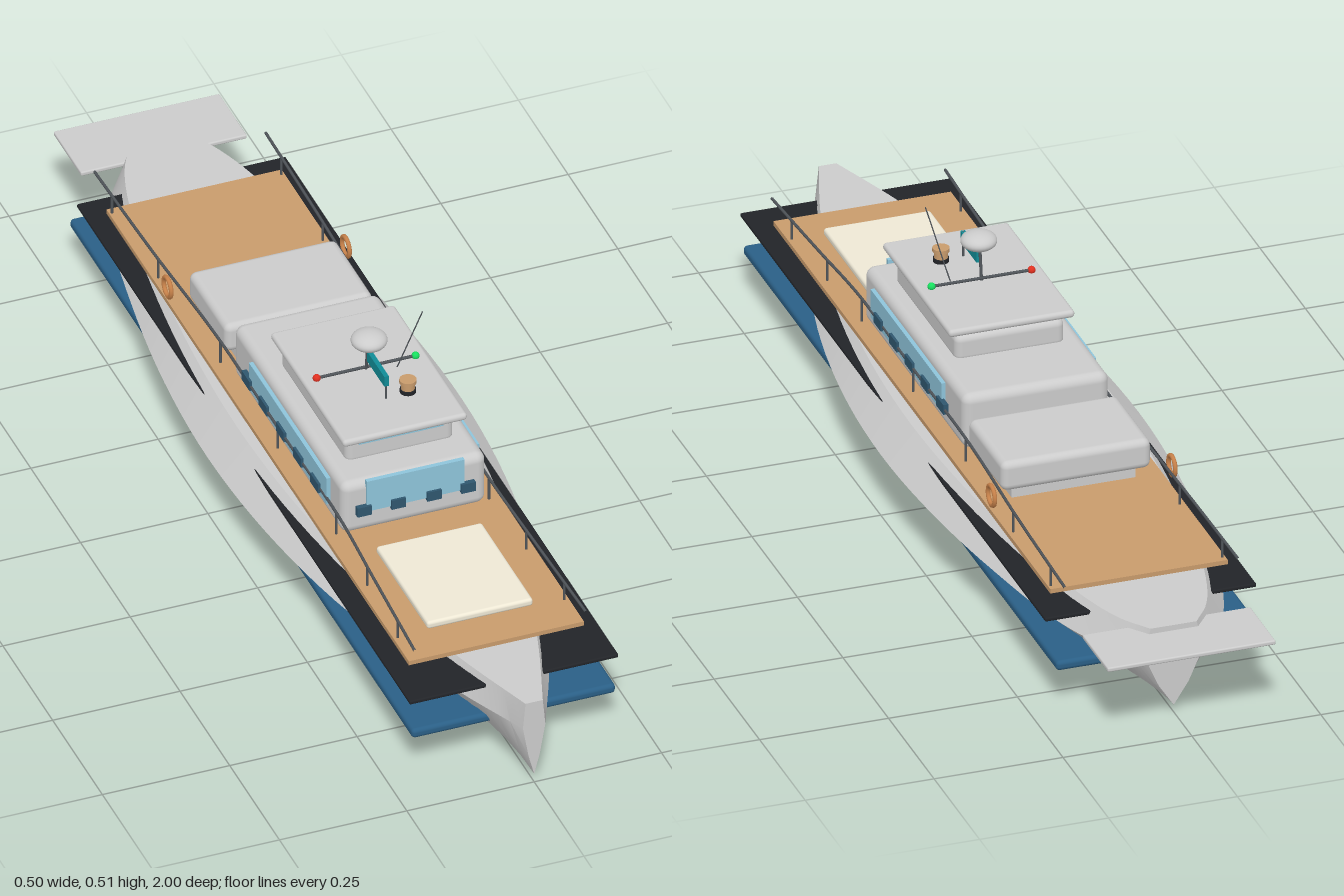
import * as THREE from 'three';
import { toCreasedNormals } from 'three/addons/utils/BufferGeometryUtils.js';
import { RoundedBoxGeometry } from 'three/addons/geometries/RoundedBoxGeometry.js';

const paint = (color) => new THREE.MeshStandardMaterial({ color });
const GREY = paint(0xcccccc), WHITE = paint(0xffffff), BLACK = paint(0x222428), BLUE = paint(0x2a5f86);
const TEAK = paint(0xc89b6c), CREAM = paint(0xeee8d5), GLASS = paint(0x8ec4da), DARK = paint(0x2f566e);
const METAL = paint(0x50555a), ORANGE = paint(0xc8824a), TEAL = paint(0x118c96);
const RED = paint(0xe03020), GREEN = paint(0x18e060);

// Lofted hull: keel, bilge, chine and deck edge swept along the length
function hullGeometry() {
  const stations = [[-0.9, 0.058], [-0.84, 0.11], [-0.72, 0.16], [-0.5, 0.205], [-0.25, 0.238], [0, 0.25],
    [0.25, 0.236], [0.5, 0.196], [0.72, 0.135], [0.85, 0.088], [1, 0.022]];
  const curve = new THREE.CatmullRomCurve3(stations.map(([z, w]) => new THREE.Vector3(w, 0, z)));
  const rings = curve.getPoints(50).map(({ x: w, z }) => {
    const keel = 0.018 * z * z;
    const half = [[0.5, 0.052 + keel * 0.5], [1, 0.125], [0.77, 0.18]];
    return [[0, keel], ...half.map(([f, y]) => [f * w, y]),
      ...half.slice().reverse().map(([f, y]) => [-f * w, y])].map(([x, y]) => [x, y, z]);
  });
  const pos = [];
  const tri = (a, b, c) => pos.push(...a, ...b, ...c);
  const n = rings[0].length;
  for (let i = 0; i < rings.length - 1; i++) {
    for (let j = 0; j < n; j++) {
      const k = (j + 1) % n, a = rings[i], b = rings[i + 1];
      tri(a[j], a[k], b[k]);
      tri(a[j], b[k], b[j]);
    }
  }
  const stern = rings[0], bow = rings[rings.length - 1];
  for (let j = 1; j < n - 1; j++) {
    tri(stern[0], stern[j + 1], stern[j]);
    tri(bow[0], bow[j], bow[j + 1]);
  }
  const g = new THREE.BufferGeometry();
  g.setAttribute('position', new THREE.Float32BufferAttribute(pos, 3));
  return toCreasedNormals(g, 0.4);
}

export function createModel() {
  const boat = new THREE.Group();
  boat.name = 'motorYacht';

  const add = (name, geo, mat, x = 0, y = 0, z = 0) => {
    const m = new THREE.Mesh(geo, mat);
    m.name = name;
    m.position.set(x, y, z);
    boat.add(m);
    return m;
  };
  // Boxes given by their ranges along each axis
  const box = (name, mat, [x0, x1], [y0, y1], [z0, z1], r = 0) => {
    const s = [x1 - x0, y1 - y0, z1 - z0];
    const geo = r ? new RoundedBoxGeometry(...s, 3, r) : new THREE.BoxGeometry(...s);
    return add(name, geo, mat, (x0 + x1) / 2, (y0 + y1) / 2, (z0 + z1) / 2);
  };
  const rod = (name, mat, a, b, r) => {
    const p = new THREE.Vector3(...a), q = new THREE.Vector3(...b);
    const m = add(name, new THREE.CylinderGeometry(r, r, p.distanceTo(q), 8), mat);
    m.position.copy(p).lerp(q, 0.5);
    m.quaternion.setFromUnitVectors(new THREE.Vector3(0, 1, 0), q.sub(p).normalize());
    return m;
  };

  // Hull and deck
  add('hull', hullGeometry(), GREY);
  box('waterlineBand', BLUE, [-0.2, 0.2], [0.08, 0.1], [-0.825, 0.9], 0.008);
  box('rubRail', BLACK, [-0.205, 0.205], [0.159, 0.167], [-0.775, 0.9], 0.003);
  box('deck', TEAK, [-0.172, 0.172], [0.18, 0.189], [-0.71, 0.81]);
  box('swimPlatform', WHITE, [-0.163, 0.163], [0.16, 0.169], [-1, -0.86], 0.003);
  box('sunPad', CREAM, [-0.104, 0.104], [0.188, 0.204], [0.47, 0.73], 0.006);

  // Superstructure
  box('aftCabin', WHITE, [-0.145, 0.145], [0.212, 0.272], [-0.37, -0.178], 0.014);
  box('aftCabinBase', WHITE, [-0.12, 0.12], [0.188, 0.22], [-0.35, -0.19]);
  box('mainCabin', WHITE, [-0.142, 0.142], [0.188, 0.3], [-0.15, 0.4], 0.018);
  box('bridge', WHITE, [-0.106, 0.106], [0.29, 0.345], [-0.005, 0.328], 0.014);
  box('bridgeRoof', WHITE, [-0.122, 0.122], [0.35, 0.365], [-0.015, 0.355], 0.007);
  for (const x of [-0.085, 0.085]) {
    for (const z of [0.04, 0.29]) rod('roofPost', WHITE, [x, 0.34, z], [x, 0.355, z], 0.005);
  }

  // Windows
  box('frontWindow', GLASS, [-0.096, 0.096], [0.235, 0.302], [0.396, 0.405]);
  box('bridgeWindow', GLASS, [-0.083, 0.083], [0.333, 0.342], [0.322, 0.332]);
  for (const x of [-0.102, -0.035, 0.035, 0.102]) {
    box('frontVent', DARK, [x - 0.014, x + 0.014], [0.23, 0.25], [0.4, 0.41]);
  }
  for (const s of [-1, 1]) {
    const side = (a, b) => [Math.min(s * a, s * b), Math.max(s * a, s * b)];
    box('sideWindow', GLASS, side(0.14, 0.15), [0.222, 0.28], [-0.05, 0.34]);
    for (let i = 0; i < 5; i++) {
      const z = 0.29 - i * 0.086;
      box('sideVent', DARK, side(0.145, 0.155), [0.228, 0.248], [z - 0.02, z + 0.02]);
    }
  }

  // Railings and lifebuoys
  for (const s of [-1, 1]) {
    const path = [[0.168, 0.225, 0.83], [0.158, 0.23, 0.6], [0.15, 0.236, 0.4], [0.152, 0.236, 0.1],
      [0.152, 0.236, -0.2], [0.162, 0.23, -0.5], [0.168, 0.226, -0.78]].map(([x, y, z]) => [s * x, y, z]);
    const curve = new THREE.CatmullRomCurve3(path.map((p) => new THREE.Vector3(...p)));
    add('handrail', new THREE.TubeGeometry(curve, 48, 0.0028, 6), METAL);
    for (const t of [0.07, 0.2, 0.34, 0.5, 0.66, 0.82, 0.95]) {
      const p = curve.getPoint(t);
      rod('railPost', METAL, [p.x, 0.185, p.z], [p.x, p.y, p.z], 0.0025);
    }
    const buoy = add('lifebuoy', new THREE.TorusGeometry(0.019, 0.0045, 8, 24), ORANGE, s * 0.175, 0.226, -0.395);
    buoy.rotation.y = Math.PI / 2;
  }

  // Mast, radar dome, flag and running lights
  rod('mast', METAL, [0, 0.364, 0.155], [0, 0.435, 0.165], 0.003);
  add('radarDome', new THREE.SphereGeometry(0.034, 28, 18), WHITE, 0, 0.44, 0.17).scale.y = 0.52;
  box('flag', TEAL, [-0.0045, 0.0045], [0.394, 0.416], [0.17, 0.258]);
  rod('flagStaff', METAL, [0, 0.364, 0.255], [0, 0.416, 0.255], 0.002);
  rod('lightBar', METAL, [-0.097, 0.369, 0.155], [0.097, 0.369, 0.155], 0.003);
  add('redLight', new THREE.SphereGeometry(0.0075, 16, 12), RED, -0.097, 0.369, 0.155);
  add('greenLight', new THREE.SphereGeometry(0.0075, 16, 12), GREEN, 0.097, 0.369, 0.155);
  rod('antenna', METAL, [0.055, 0.364, 0.17], [0.09, 0.505, 0.208], 0.0012);

  // Lamp on the roof
  const lamp = (name, mat, r, y0, y1) => add(name, new THREE.CylinderGeometry(r, r, y1 - y0, 20), mat, 0.045, (y0 + y1) / 2, 0.25);
  lamp('lampBase', BLACK, 0.015, 0.364, 0.373);
  lamp('lampBody', TEAK, 0.013, 0.373, 0.386);
  lamp('lampCap', TEAK, 0.016, 0.386, 0.393);
  return boat;
}
